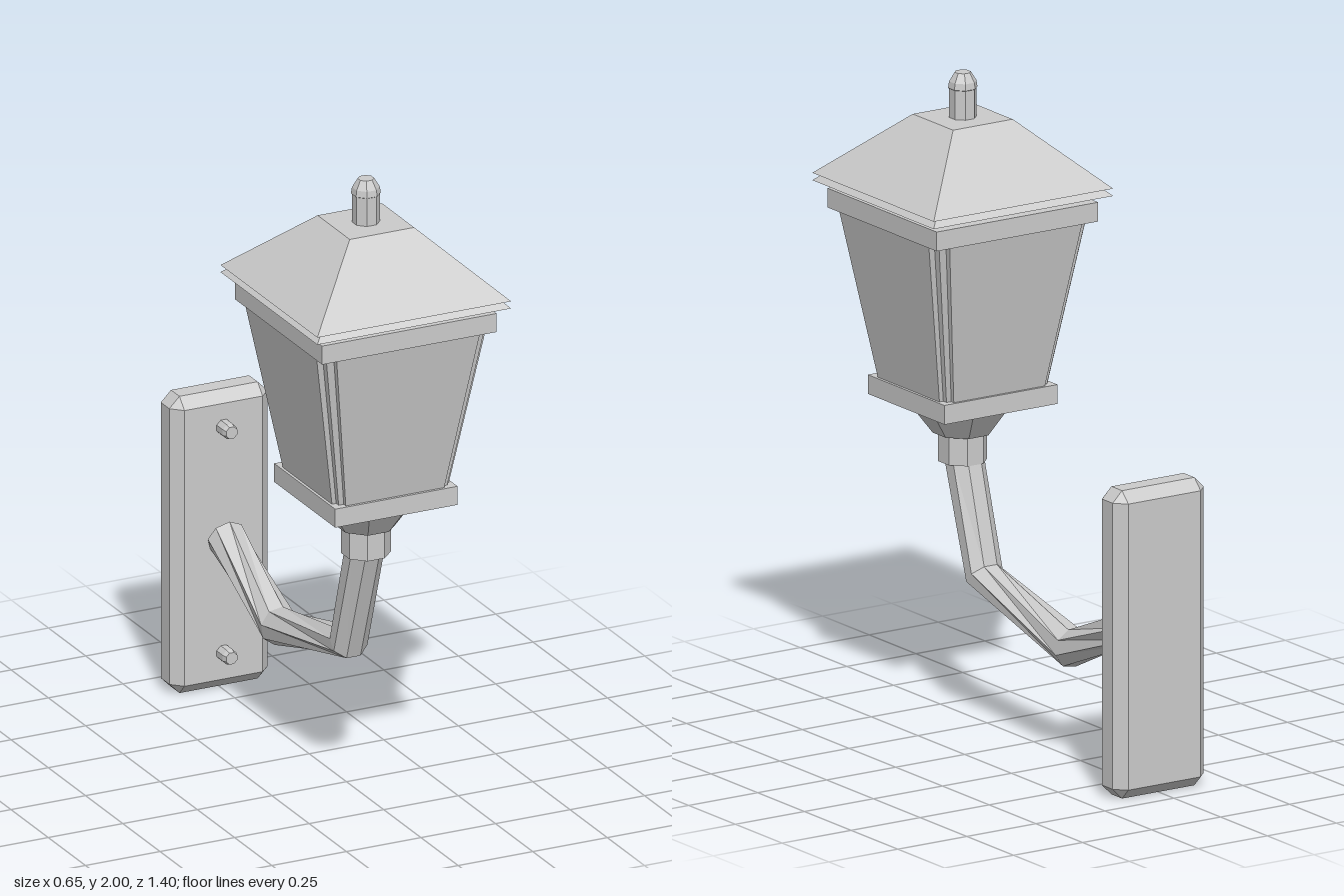
import * as THREE from 'three';
import { ConvexGeometry } from 'three/addons/geometries/ConvexGeometry.js';

const material = new THREE.MeshStandardMaterial({ color: 0xcccccc, flatShading: true });
const LANTERN_Z = 0.38;

function add(parent, name, geometry, x = 0, y = 0, z = 0) {
  const mesh = new THREE.Mesh(geometry, material);
  mesh.name = name;
  mesh.position.set(x, y, z);
  parent.add(mesh);
  return mesh;
}

// Square frustum given by half widths and heights
function squareFrustum(halfTop, halfBottom, y0, y1) {
  return new THREE.CylinderGeometry(halfTop * Math.SQRT2, halfBottom * Math.SQRT2, y1 - y0, 4)
    .rotateY(Math.PI / 4).translate(0, (y0 + y1) / 2, 0);
}

// Eight-sided turned shape with a flat facing the front
function octagonLathe(profile) {
  const points = profile.map(([r, y]) => new THREE.Vector2(r, y));
  return new THREE.LatheGeometry(points, 8, Math.PI / 8);
}

// Box with all its edges cut at 45 degrees
function chamferedBox(hx, hy, hz, c) {
  const points = [];
  for (const sx of [-1, 1]) for (const sy of [-1, 1]) for (const sz of [-1, 1]) {
    points.push(
      new THREE.Vector3(sx * hx, sy * (hy - c), sz * (hz - c)),
      new THREE.Vector3(sx * (hx - c), sy * hy, sz * (hz - c)),
      new THREE.Vector3(sx * (hx - c), sy * (hy - c), sz * hz));
  }
  return new ConvexGeometry(points);
}

// Tapered, leaning glass pane that stands slightly proud of the core
function paneGeometry() {
  const geometry = new THREE.BoxGeometry(2, 1, 1);
  const p = geometry.attributes.position;
  for (let i = 0; i < p.count; i++) {
    const t = p.getY(i) + 0.5;
    const outer = THREE.MathUtils.lerp(0.196, 0.285, t);
    p.setXYZ(i,
      p.getX(i) * THREE.MathUtils.lerp(0.165, 0.24, t),
      THREE.MathUtils.lerp(1.04, 1.555, t),
      p.getZ(i) > 0 ? outer : outer - 0.03);
  }
  geometry.computeVertexNormals();
  return geometry;
}

// Eight-sided arm lofted through rings: centre [y, z], half axis [y, z], twist
function armGeometry() {
  const SIDES = 8, R = 0.061, TWIST = 1.4;
  const rings = [
    { c: [0.80, 0.372], v: [0, -0.06], twist: 0 },
    { c: [0.458, 0.264], v: [0.04, -0.036], twist: 0 },
    { c: [0.34, -0.205], v: [0.061, 0], twist: TWIST },
    { c: [0.50, -0.56], v: [0.055, 0.02], twist: 2 * TWIST },
  ];
  const vertices = [], index = [];
  for (const { c, v, twist } of rings) {
    for (let i = 0; i < SIDES; i++) {
      const a = (i + 0.5) / SIDES * Math.PI * 2 + twist;
      vertices.push(R * Math.sin(a), c[0] + v[0] * Math.cos(a), c[1] + v[1] * Math.cos(a));
    }
  }
  for (let k = 0; k < rings.length - 1; k++) {
    for (let i = 0; i < SIDES; i++) {
      const a = k * SIDES + i, b = k * SIDES + (i + 1) % SIDES;
      index.push(a, b, a + SIDES, b, b + SIDES, a + SIDES);
    }
  }
  // End caps
  const last = (rings.length - 1) * SIDES;
  for (let i = 1; i < SIDES - 1; i++) {
    index.push(0, i + 1, i, last, last + i, last + i + 1);
  }
  const geometry = new THREE.BufferGeometry();
  geometry.setAttribute('position', new THREE.Float32BufferAttribute(vertices, 3));
  geometry.setIndex(index);
  geometry.computeVertexNormals();
  return geometry;
}

export function createModel() {
  const model = new THREE.Group();
  model.name = 'wallLantern';

  // Wall plate with two bolts
  add(model, 'wallPlate', chamferedBox(0.165, 0.48, 0.0625, 0.034), 0, 0.48, -0.6375);
  for (const y of [0.12, 0.85]) {
    const bolt = octagonLathe([[0, -0.02], [0.025, -0.02], [0.025, 0.04], [0.02, 0.055], [0, 0.055]]);
    add(model, 'bolt', bolt.rotateX(Math.PI / 2), 0, y, -0.575);
  }

  // Bent, twisted arm
  add(model, 'arm', armGeometry());

  const lantern = new THREE.Group();
  lantern.name = 'lantern';
  lantern.position.z = LANTERN_Z;
  model.add(lantern);

  // Collar and flared cup under the lantern
  add(lantern, 'collar', octagonLathe([[0, 0.79], [0.075, 0.79], [0.075, 0.88]]));
  add(lantern, 'cup', octagonLathe([[0, 0.88], [0.092, 0.88], [0.168, 0.98]]));

  // Lantern body: rims, core and four panes
  add(lantern, 'bottomRim', new THREE.BoxGeometry(0.41, 0.06, 0.41), 0, 1.01, 0);
  add(lantern, 'topRim', new THREE.BoxGeometry(0.585, 0.06, 0.585), 0, 1.585, 0);
  add(lantern, 'cornerCore', squareFrustum(0.265, 0.182, 1.04, 1.555));
  for (let i = 0; i < 4; i++) {
    add(lantern, 'pane', paneGeometry()).rotation.y = i * Math.PI / 2;
  }

  // Roof with a doubled eave, hovering just above the rim
  add(lantern, 'roof', squareFrustum(0.108, 0.325, 1.66, 1.86));
  add(lantern, 'eave', squareFrustum(0.299, 0.325, 1.637, 1.661));

  // Finial
  add(lantern, 'finial', octagonLathe([
    [0.042, 1.86], [0.042, 1.95], [0.045, 1.952], [0.042, 1.972], [0.025, 2.0], [0, 2.0]]));

  return model;
}
